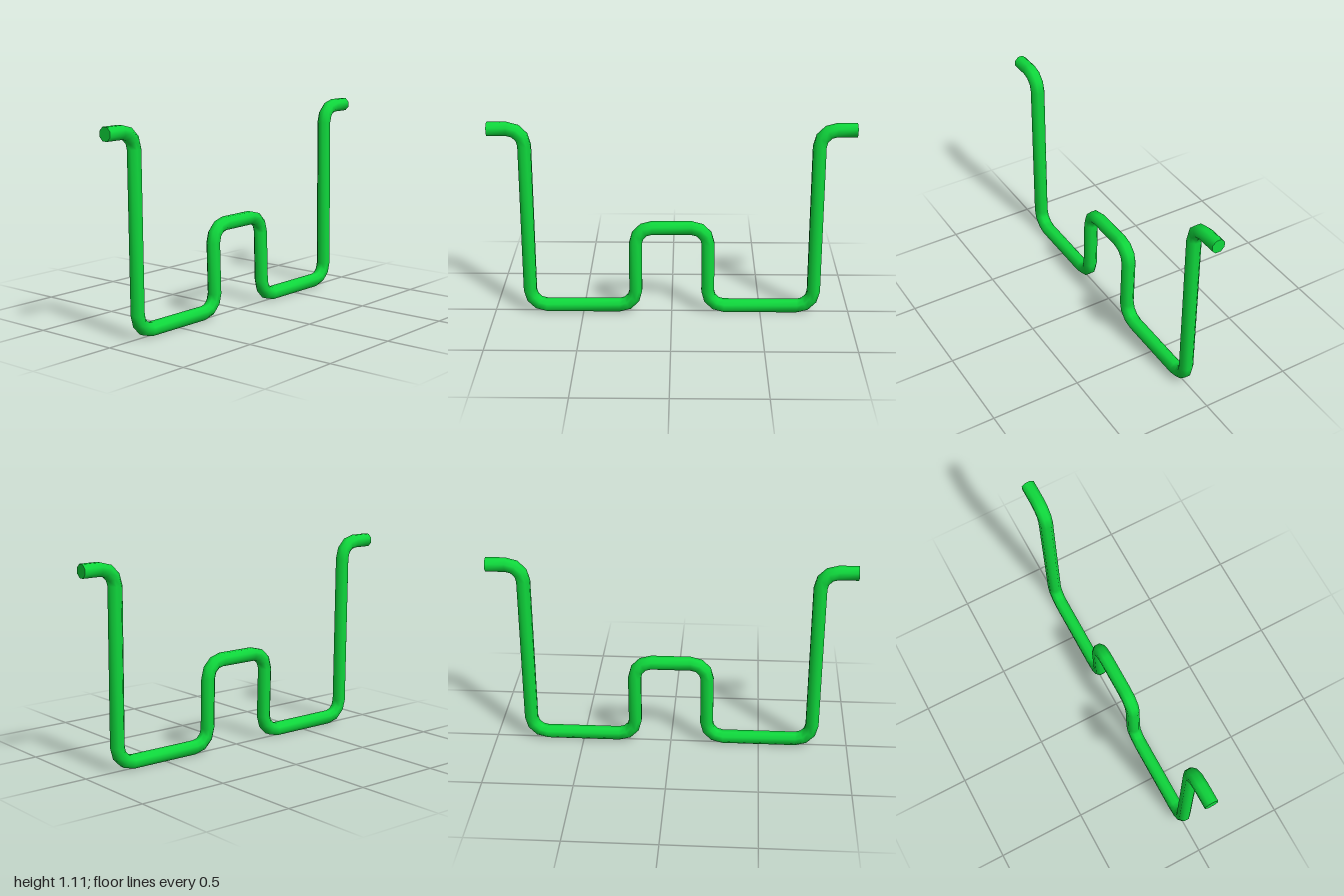
import * as THREE from 'three';

const SIDES = 8, RADIUS = 0.039, BEND = 0.093, BEND_STEPS = 3;
const LOW = 0.036, MID = 0.504, TOP = 1.076;

// Corners of the bent rod, front to back; the raised runs lean slightly to -x
const half = [[TOP, 1], [TOP, 0.8], [LOW, 0.8], [LOW, 0.203], [MID, 0.203]];
const corners = [...half, ...half.map(([y, z]) => [y, -z]).reverse()]
  .map(([y, z]) => new THREE.Vector3(y < 0.1 ? 0.003 : -0.005, y, z));

// Points and directions along the rod, each inner corner rounded to an arc
function stations() {
  const list = [];
  corners.forEach((p, i) => {
    const flat = (a, b) => b.clone().sub(a).setX(0).normalize();
    const u = i > 0 ? flat(corners[i - 1], p) : null;
    const v = i < corners.length - 1 ? flat(p, corners[i + 1]) : null;
    if (!u || !v) {
      list.push({ point: p, dir: u || v });
      return;
    }
    const centre = p.clone().addScaledVector(u, -BEND).addScaledVector(v, BEND);
    for (let k = 0; k <= BEND_STEPS; k++) {
      const t = (k / BEND_STEPS) * Math.PI / 2, s = Math.sin(t), c = Math.cos(t);
      list.push({
        point: centre.clone().addScaledVector(u, BEND * s).addScaledVector(v, -BEND * c),
        dir: u.clone().multiplyScalar(c).addScaledVector(v, s),
      });
    }
  });
  return list;
}

// Octagonal section swept along the stations
function sweep(list) {
  const positions = [], index = [];
  list.forEach(({ point, dir }, i) => {
    for (let j = 0; j < SIDES; j++) {
      const a = ((j + 0.5) / SIDES) * Math.PI * 2;
      const n = RADIUS * Math.sin(a);
      positions.push(point.x + RADIUS * Math.cos(a), point.y + n * dir.z, point.z - n * dir.y);
      if (i < list.length - 1) {
        const a0 = i * SIDES + j, b0 = i * SIDES + (j + 1) % SIDES;
        index.push(a0, b0, a0 + SIDES, b0, b0 + SIDES, a0 + SIDES);
      }
    }
  });
  const geometry = new THREE.BufferGeometry();
  geometry.setAttribute('position', new THREE.Float32BufferAttribute(positions, 3));
  geometry.setIndex(index);
  geometry.computeVertexNormals();
  return geometry;
}

export function createModel() {
  const group = new THREE.Group();
  group.name = 'bentRod';
  const material = new THREE.MeshStandardMaterial({ color: 0x0fd83c });

  const rod = new THREE.Mesh(sweep(stations()), material);
  rod.name = 'rod';
  group.add(rod);

  // Flat end caps
  for (const side of [1, -1]) {
    const cap = new THREE.Mesh(new THREE.CircleGeometry(RADIUS, SIDES, Math.PI / SIDES), material);
    cap.name = side > 0 ? 'frontEndCap' : 'backEndCap';
    cap.position.set(-0.005, TOP, side);
    if (side < 0) cap.rotation.y = Math.PI;
    group.add(cap);
  }
  return group;
}
